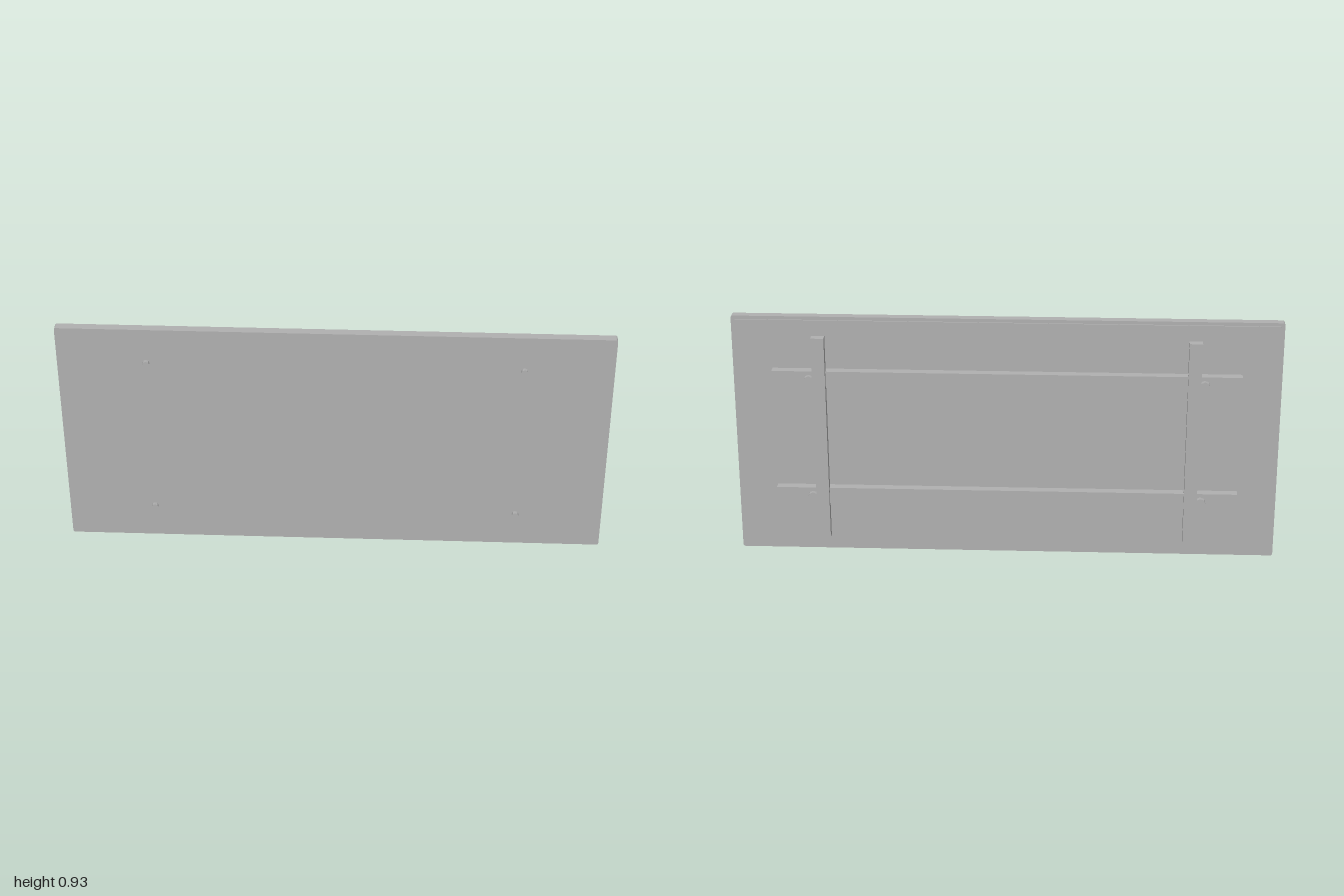
import * as THREE from 'three';

export function createModel() {
  const model = new THREE.Group();
  model.name = 'wallPanel';
  const grey = new THREE.MeshStandardMaterial({ color: 0xb0b0b0, flatShading: true });
  grey.name = 'grey';

  const add = (name, geometry, x = 0, y = 0, z = 0) => {
    const mesh = new THREE.Mesh(geometry, grey);
    mesh.name = name;
    mesh.position.set(x, y, z);
    model.add(mesh);
  };

  // Upright sheet with slightly rounded corners
  const sheet = (w, h, depth, r) => {
    const s = new THREE.Shape();
    const a = w / 2, b = h / 2;
    s.absarc(a - r, b - r, r, 0, Math.PI / 2);
    s.absarc(-a + r, b - r, r, Math.PI / 2, Math.PI);
    s.absarc(-a + r, -b + r, r, Math.PI, Math.PI * 1.5);
    s.absarc(a - r, -b + r, r, Math.PI * 1.5, Math.PI * 2);
    return new THREE.ExtrudeGeometry(s, { depth, bevelEnabled: false, curveSegments: 4 });
  };

  // Eight-sided bolt head along z, with a corner at the top
  const bolt = (r, depth) => new THREE.CylinderGeometry(r, r, depth, 8).rotateX(Math.PI / 2);

  // Front board and the thin inset sheet behind it
  add('frontBoard', sheet(2, 0.93, 0.031, 0.008), 0, 0.465, 0.005);
  add('backSheet', sheet(1.975, 0.905, 0.005, 0.005), 0, 0.465, 0);

  // Horizontal rails
  for (const y of [0.235, 0.7]) {
    add('rail', new THREE.BoxGeometry(1.71, 0.063, 0.032), 0, y, -0.016);
  }

  for (const side of [-1, 1]) {
    // Upright post notched into the rails
    add('post', new THREE.BoxGeometry(0.048, 0.796, 0.028), side * 0.682, 0.467, -0.034);
    // Bolts beside the post, on each rail
    for (const y of [0.235, 0.7]) add('railBolt', bolt(0.0185, 0.017), side * 0.719, y, -0.0395);
    // Bolt heads on the front
    for (const y of [0.14, 0.79]) add('frontBolt', bolt(0.0125, 0.014), side * 0.678, y, 0.042);
  }
  return model;
}
